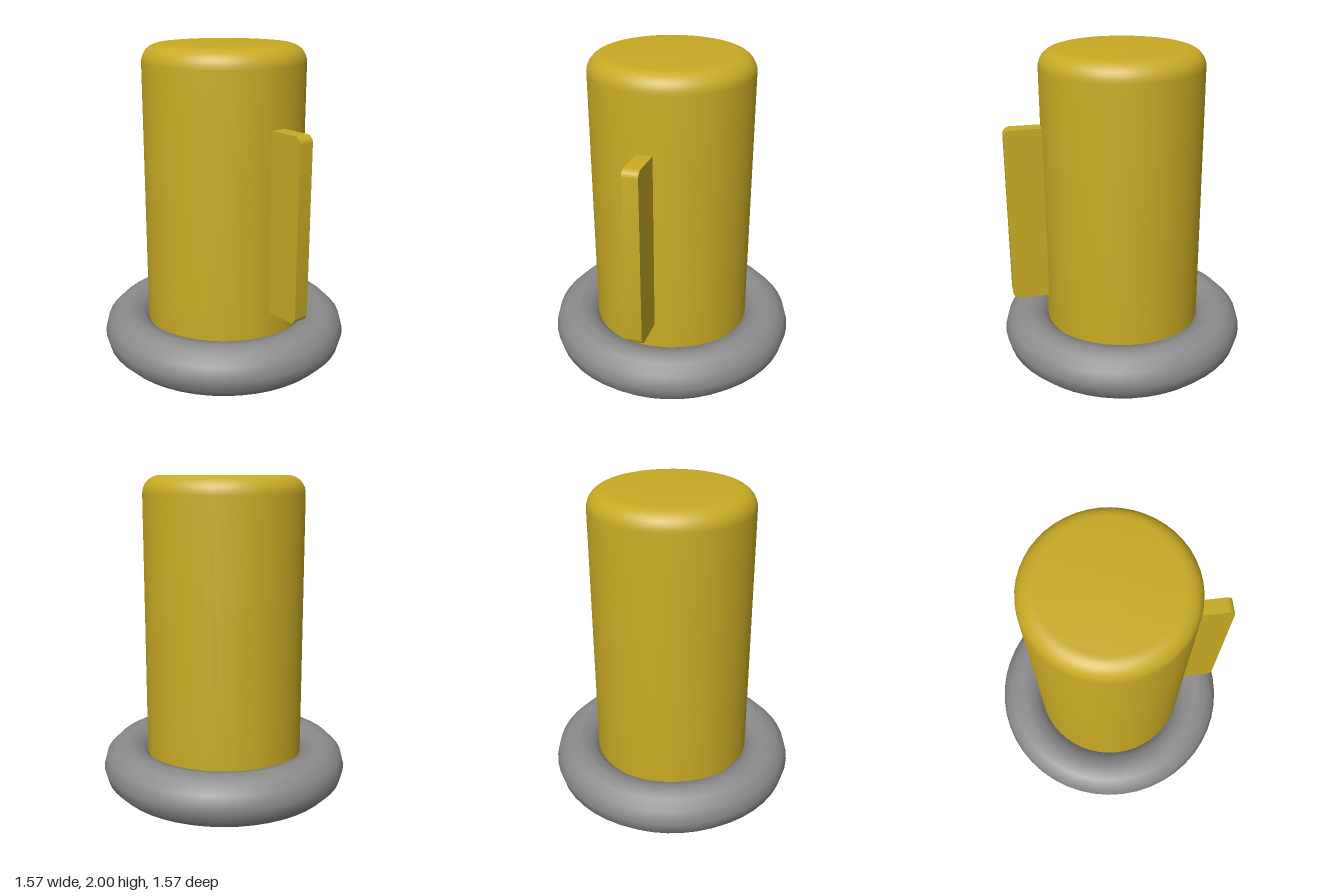
import * as THREE from 'three';
import { toCreasedNormals } from 'three/addons/utils/BufferGeometryUtils.js';

const yellow = new THREE.MeshStandardMaterial({ color: 0xc8aa24 });
const grey = new THREE.MeshStandardMaterial({ color: 0x8c8c8c });

function part(name, geometry, material) {
  const mesh = new THREE.Mesh(geometry, material);
  mesh.name = name;
  return mesh;
}

// Solid cylinder with a rounded top edge
function bodyGeometry(radius, bottom, top, fillet) {
  const points = [new THREE.Vector2(0, bottom), new THREE.Vector2(radius, bottom)];
  const steps = 8;
  for (let i = 0; i <= steps; i++) {
    const a = (i / steps) * Math.PI / 2;
    points.push(new THREE.Vector2(
      radius - fillet + fillet * Math.cos(a),
      top - fillet + fillet * Math.sin(a)));
  }
  points.push(new THREE.Vector2(0, top));
  return toCreasedNormals(new THREE.LatheGeometry(points, 48), 0.6);
}

// Upright radial plate, rounded at its two outer corners
function finGeometry(inner, outer, bottom, top, width, round) {
  const s = new THREE.Shape();
  s.moveTo(inner, bottom);
  s.lineTo(outer - round, bottom);
  s.absarc(outer - round, bottom + round, round, -Math.PI / 2, 0, false);
  s.lineTo(outer, top - round);
  s.absarc(outer - round, top - round, round, 0, Math.PI / 2, false);
  s.lineTo(inner, top);
  s.closePath();
  const g = new THREE.ExtrudeGeometry(s, { depth: width, bevelEnabled: false, curveSegments: 6 });
  g.translate(0, 0, -width / 2);
  g.rotateY(-Math.PI / 2); // point the plate to the front
  return toCreasedNormals(g, 0.6);
}

export function createModel() {
  const model = new THREE.Group();
  model.name = 'cylinderWithRing';

  model.add(part('body', bodyGeometry(0.5, 0.064, 2, 0.11), yellow));

  // Ring around the foot of the body
  const ring = part('baseRing', new THREE.TorusGeometry(0.627, 0.158, 12, 48), grey);
  ring.rotation.x = -Math.PI / 2;
  ring.position.y = 0.158;
  model.add(ring);

  // Fin, turned slightly off the front
  const fin = part('sideFin', finGeometry(0.45, 0.727, 0.425, 1.545, 0.096, 0.045), yellow);
  fin.rotation.y = THREE.MathUtils.degToRad(7.7);
  model.add(fin);

  return model;
}
